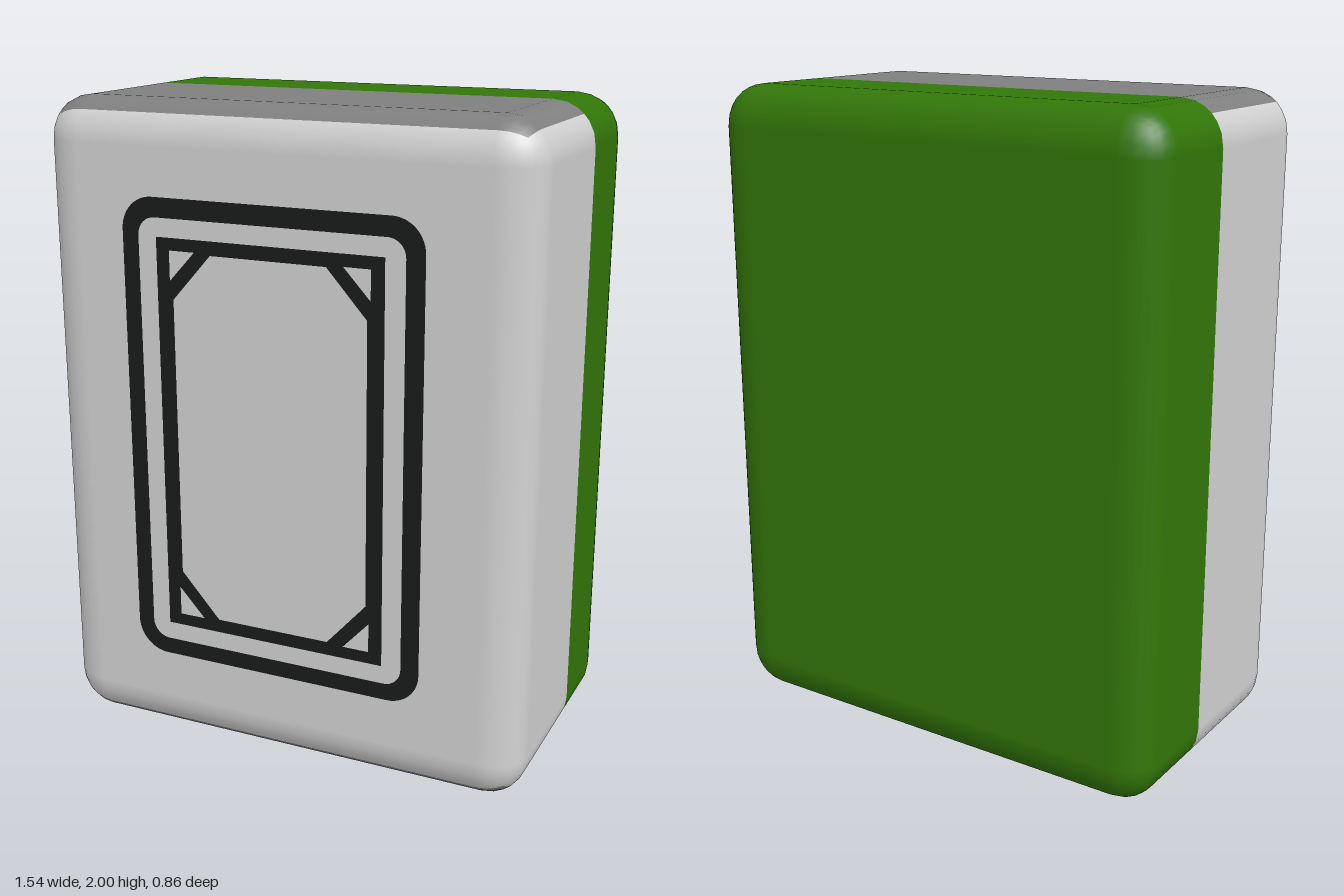
import * as THREE from 'three';
import { RoundedBoxGeometry } from 'three/addons/geometries/RoundedBoxGeometry.js';

const W = 1.54, H = 2, D = 0.86, R = 0.13, SPLIT = -0.08;
const material = (name, color) => {
  const mat = new THREE.MeshStandardMaterial({ color });
  mat.name = name;
  return mat;
};

// One layer of the tile: a rounded block whose vertices are clamped to a z range
function layerGeometry(zMin, zMax) {
  const squash = 0.77; // edges are rounded less deeply along z
  const geo = new RoundedBoxGeometry(W, H, D / squash, 3, R);
  geo.scale(1, 1, squash);
  const p = geo.attributes.position;
  for (let i = 0; i < p.count; i++) {
    p.setZ(i, THREE.MathUtils.clamp(p.getZ(i), zMin, zMax));
  }
  return geo;
}

const polygon = (points) => new THREE.Path(points.map(([x, y]) => new THREE.Vector2(x, y)));

// Rounded rectangle outline traced into a Shape or Path
function roundedRect(path, x0, y0, x1, y1, r) {
  path.moveTo(x0 + r, y0);
  path.lineTo(x1 - r, y0).absarc(x1 - r, y0 + r, r, -Math.PI / 2, 0, false);
  path.lineTo(x1, y1 - r).absarc(x1 - r, y1 - r, r, 0, Math.PI / 2, false);
  path.lineTo(x0 + r, y1).absarc(x0 + r, y1 - r, r, Math.PI / 2, Math.PI, false);
  path.lineTo(x0, y0 + r).absarc(x0 + r, y0 + r, r, Math.PI, Math.PI * 1.5, false);
  return path;
}

// Outer border with rounded corners
function outerFrameShape() {
  const shape = roundedRect(new THREE.Shape(), -0.49, 0.28, 0.46, 1.727, 0.1);
  shape.holes.push(roundedRect(new THREE.Path(), -0.437, 0.332, 0.403, 1.668, 0.055));
  return shape;
}

// Inner border: an eight-sided opening with a small triangle in each corner
function innerFrameShape() {
  const cx = -0.018, cy = 1.0, hw = 0.36, hh = 0.612;
  const ow = 0.308, oh = 0.57, cutX = 0.125, cutY = 0.14;
  const shape = new THREE.Shape([[-1, -1], [1, -1], [1, 1], [-1, 1]]
    .map(([sx, sy]) => new THREE.Vector2(cx + sx * hw, cy + sy * hh)));
  const opening = [];
  for (const [sx, sy] of [[-1, -1], [1, -1], [1, 1], [-1, 1]]) {
    const alongX = [cx + sx * (ow - cutX), cy + sy * oh];
    const alongY = [cx + sx * ow, cy + sy * (oh - cutY)];
    opening.push(...(sx === sy ? [alongY, alongX] : [alongX, alongY]));
    const tx = cx + sx * 0.318, ty = cy + sy * 0.575;
    shape.holes.push(polygon([[tx, ty], [tx - sx * 0.083, ty], [tx, ty - sy * 0.09]]));
  }
  shape.holes.push(polygon(opening));
  return shape;
}

export function createModel() {
  const model = new THREE.Group();
  model.name = 'tile';
  const grey = material('light grey', 0xd2d2d2);
  const darkGrey = material('dark grey', 0x7f7f7f);
  const green = material('green', 0x327608);
  const black = material('black', 0x191b1a);

  const add = (name, geometry, mat, y, z) => {
    const mesh = new THREE.Mesh(geometry, mat);
    mesh.name = name;
    mesh.position.set(0, y, z);
    model.add(mesh);
  };

  // Two-layer body; the front layer has darker top and bottom sides
  const frontSides = [grey, grey, darkGrey, darkGrey, grey, grey];
  add('frontLayer', layerGeometry(SPLIT, D / 2), frontSides, H / 2, 0);
  const back = layerGeometry(-D / 2, SPLIT);
  back.clearGroups();
  add('backLayer', back, green, H / 2, 0);

  // Painted borders on the face
  add('outerFrame', new THREE.ShapeGeometry(outerFrameShape(), 6), black, 0, D / 2 + 0.003);
  add('innerFrame', new THREE.ShapeGeometry(innerFrameShape()), black, 0, D / 2 + 0.003);
  return model;
}
